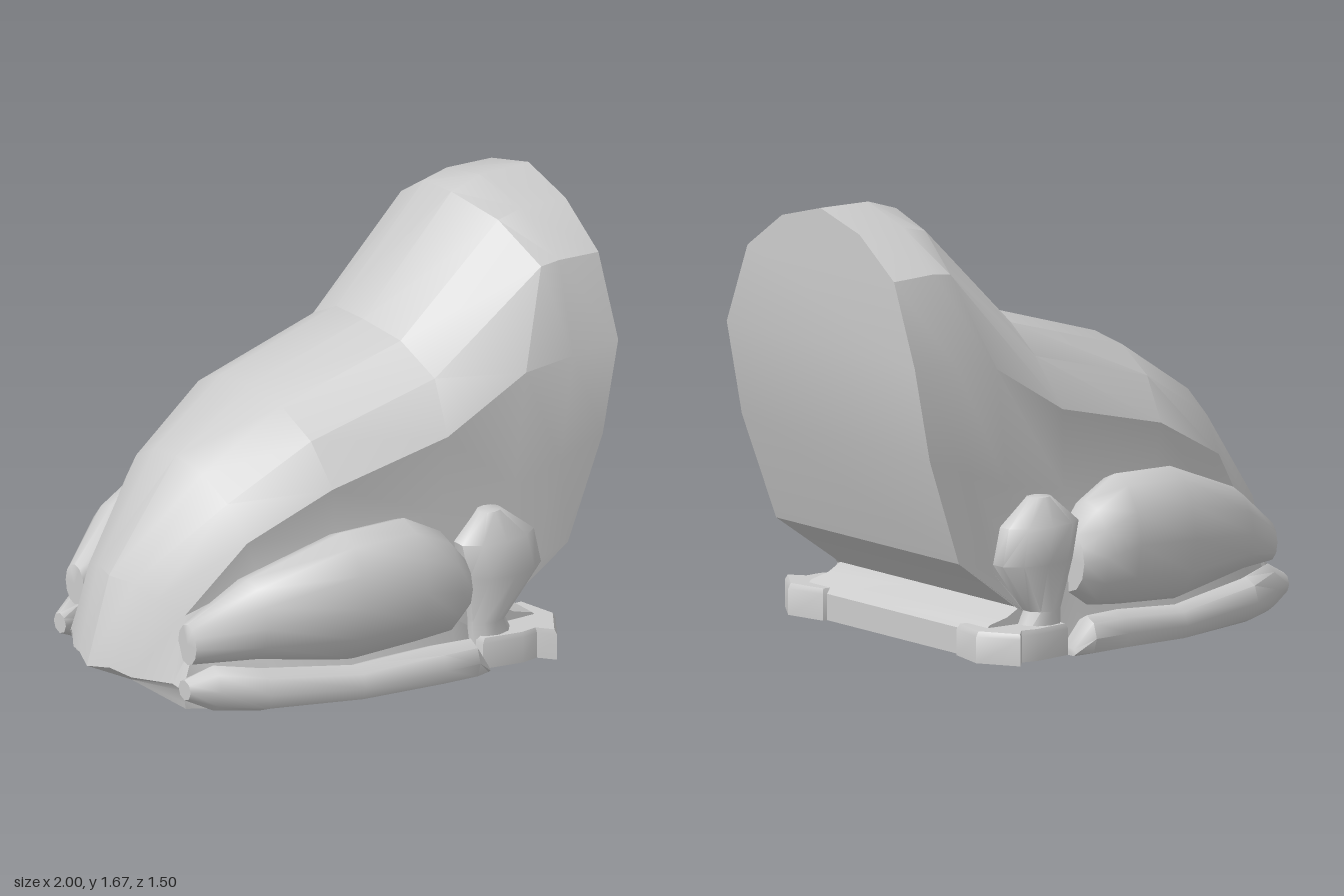
import * as THREE from 'three';
import { toCreasedNormals } from 'three/addons/utils/BufferGeometryUtils.js';

const material = new THREE.MeshStandardMaterial({ color: 0xcccccc });

function makeMesh(name, geometry, crease) {
  const mesh = new THREE.Mesh(toCreasedNormals(geometry, crease), material);
  mesh.name = name;
  return mesh;
}

// Skin a series of closed rings; each ring runs counterclockwise seen from the far end.
// startTip replaces the first cap's centre; stripEnd closes a mirrored ring with cross strips.
function loft(name, rings, crease, { startTip = null, stripEnd = false } = {}) {
  const n = rings[0].length, pos = [];
  const tri = (...corners) => corners.forEach((p) => pos.push(...p));
  const centre = (ring) => [0, 1, 2].map((k) => ring.reduce((s, p) => s + p[k], 0) / n);
  for (let i = 0; i < rings.length - 1; i++) {
    for (let j = 0; j < n; j++) {
      const k = (j + 1) % n, a = rings[i], b = rings[i + 1];
      tri(a[j], a[k], b[k]);
      tri(a[j], b[k], b[j]);
    }
  }
  const first = rings[0], last = rings[rings.length - 1];
  const c0 = startTip ?? centre(first), c1 = centre(last);
  for (let j = 0; j < n; j++) {
    const k = (j + 1) % n;
    tri(c0, first[k], first[j]);
    if (!stripEnd) tri(c1, last[j], last[k]);
  }
  if (stripEnd) {
    for (let j = 0; j < (n - 1) / 2; j++) {
      const mj = (n - j) % n, mk = n - j - 1;
      tri(last[j], last[j + 1], last[mk]);
      if (j > 0) tri(last[j], last[mk], last[mj]);
    }
  }
  const geometry = new THREE.BufferGeometry();
  geometry.setAttribute('position', new THREE.Float32BufferAttribute(pos, 3));
  return makeMesh(name, geometry, crease);
}

const mirrorRing = (ring) => ring.map(([x, y, z]) => [x, y, -z]).reverse();

// Unit circle samples used by the limb rings
const circle = (n, place) => Array.from({ length: n }, (_, i) => {
  const t = (i / n) * Math.PI * 2;
  return place(Math.cos(t), Math.sin(t));
});

// Elliptical rings across x: [x, y, z, height radius, depth radius], flattened on the ground
const ringsAlongX = (rows, n) => rows.map(([x, y, z, ry, rz]) =>
  circle(n, (c, s) => [x, Math.max(0, y + ry * c), z + rz * s]));

// Elliptical rings across y: [y, x, z, width radius, depth radius]
const ringsAlongY = (rows, n) => rows.map(([y, x, z, rx, rz]) =>
  circle(n, (c, s) => [x + rx * s, y, z + rz * c]));

// Guide lines of the trunk, each running from tail to face
const spine = [[-1, .1], [-.9, .44], [-.6, .85], [-.27, 1.06], [.25, 1.21], [.65, 1.63], [.78, 1.67], [1, 1.67]];
const shoulder = [
  [-.93, .1, .19], [-.84, .4, .22], [-.57, .75, .3], [-.24, .95, .37],
  [.3, 1.09, .4], [.74, 1.46, .46], [.82, 1.47, .465], [1, 1.46, .46],
];
const ridge = [
  [-.84, .1, .33], [-.77, .35, .31], [-.55, .62, .4], [-.22, .79, .485],
  [.27, .905, .53], [.6, 1.1, .565], [.8, 1.13, .585], [1, 1.15, .59],
];
const flank = [
  [-.82, .08, .37], [-.75, .28, .36], [-.5, .47, .4], [-.2, .6, .47],
  [.25, .6, .51], [.55, .65, .56], [.74, .72, .585], [.93, .79, .59],
];
const belly = [
  [-.8, 0, .36], [-.7, 0, .42], [-.5, 0, .52], [-.2, 0, .6],
  [.25, 0, .62], [.4, .1, .55], [.45, .14, .56], [.48, .17, .565],
];
const chinBulge = [0, 0, 0, 0, 0, .03, .08, .15];

// Full ring at one station: rounded back, ridge, flank, lower side and belly
function bodyRing(i) {
  const [x, y] = spine[i], s = shoulder[i];
  const back = [(x + s[0]) / 2, (y + s[1]) / 2 + .09 * s[2], .53 * s[2]];
  const lower = flank[i].map((v, k) => v + (belly[i][k] - v) * .66);
  lower[0] += chinBulge[i];
  const half = [back, s, ridge[i], flank[i], lower, belly[i]];
  return [[x, y, 0], ...half, ...mirrorRing(half)];
}

const thigh = [
  [-.8, .26, .37, .08, .06], [-.58, .34, .45, .16, .13], [-.22, .38, .54, .255, .165],
  [.05, .39, .56, .25, .165], [.2, .36, .58, .2, .15], [.28, .34, .58, .12, .1],
];
const hindLeg = [
  [-.84, .1, .41, .04, .04], [-.74, .1, .45, .09, .06], [-.58, .085, .53, .085, .08],
  [-.2, .05, .6, .07, .08], [.12, .07, .67, .08, .08],
  [.27, .065, .68, .08, .065], [.34, .01, .66, .02, .05],
];
const arm = [
  [.02, .44, .58, .11, .09], [.17, .405, .58, .075, .07], [.36, .46, .6, .17, .1],
  [.5, .43, .6, .17, .09], [.6, .42, .58, .05, .04],
];
// Front foot outline as [x, z], splayed outward
const footOutline = [
  [.34, .66], [.5, .69], [.57, .68], [.62, .74], [.715, .59], [.68, .42], [.45, .42], [.34, .52],
];

export function createModel() {
  const group = new THREE.Group();

  // Trunk and head with a flat curved face
  group.add(loft('body', spine.map((_, i) => bodyRing(i)), 0.5, { startTip: [-.8, 0, 0], stripEnd: true }));

  // Raised bar joining the front feet under the chin
  const profile = new THREE.Shape([
    [.2, 0], [.66, 0], [.66, .1], [.63, .13], [.55, .15], [.48, .19], [.2, .2],
  ].map(([x, y]) => new THREE.Vector2(x, y)));
  const barGeometry = new THREE.ExtrudeGeometry(profile, { depth: 1.12, bevelEnabled: false });
  barGeometry.translate(0, 0, -.56);
  group.add(makeMesh('frontBase', barGeometry, 0.7));

  // Front foot: flat outline narrowing slightly at the top
  const foot = [[0, 1], [.1, 1], [.12, .94]].map(([y, s]) =>
    footOutline.map(([x, z]) => [.53 + (x - .53) * s, y, .57 + (z - .57) * s]));

  // Limbs on both sides
  const limbs = [
    ['Thigh', ringsAlongX(thigh, 12), 0.9],
    ['HindLeg', ringsAlongX(hindLeg, 8), 0.9],
    ['Arm', ringsAlongY(arm, 10), 0.9],
    ['FrontFoot', foot, 0.6],
  ];
  for (const [part, rings, crease] of limbs) {
    group.add(loft('right' + part, rings, crease));
    group.add(loft('left' + part, rings.map(mirrorRing), crease));
  }
  return group;
}
